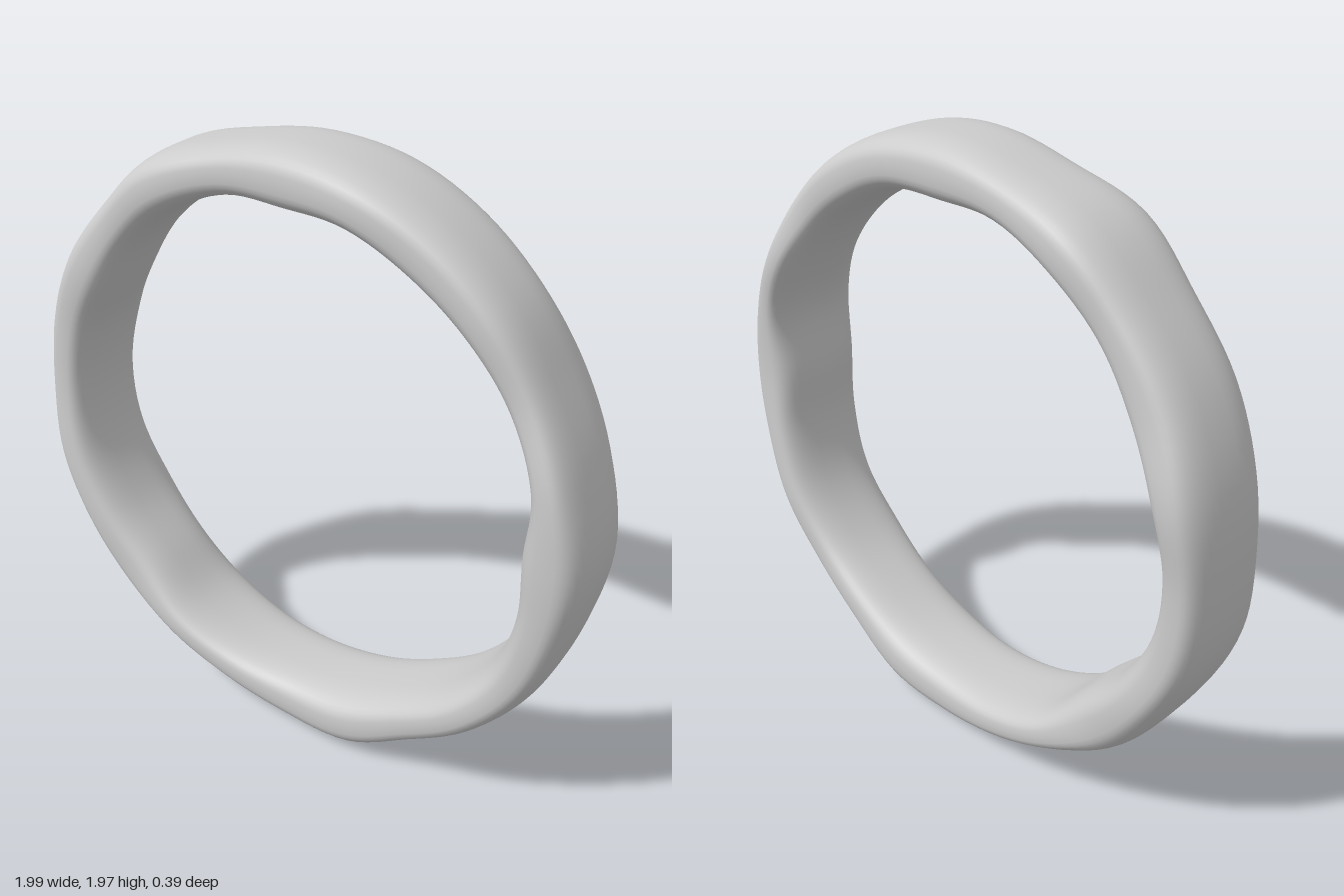
import * as THREE from 'three';
import { mergeVertices } from 'three/addons/utils/BufferGeometryUtils.js';

// Hand-formed band: values every 15 degrees, counter-clockwise from +x
const OUTER = [0.995, 0.967, 0.95, 0.973, 0.984, 0.99, 0.988, 0.982, 1.005, 0.986, 0.994, 0.998,
  0.993, 1.003, 0.993, 0.99, 0.957, 0.958, 0.975, 0.993, 0.963, 0.972, 0.984, 0.982];
const INNER = [0.787, 0.829, 0.822, 0.816, 0.811, 0.82, 0.802, 0.828, 0.83, 0.82, 0.805, 0.828,
  0.84, 0.838, 0.817, 0.795, 0.82, 0.818, 0.806, 0.805, 0.807, 0.824, 0.831, 0.813];
const FRONT = [0.19, 0.185, 0.155, 0.165, 0.17, 0.18, 0.168, 0.16, 0.185, 0.175, 0.18, 0.165,
  0.165, 0.18, 0.185, 0.18, 0.19, 0.175, 0.165, 0.175, 0.17, 0.18, 0.17, 0.18];
const BACK = [0.165, 0.178, 0.195, 0.168, 0.175, 0.178, 0.17, 0.168, 0.178, 0.16, 0.165, 0.19,
  0.168, 0.165, 0.175, 0.165, 0.175, 0.17, 0.168, 0.175, 0.17, 0.165, 0.175, 0.17];

const CENTER_Y = 0.985;
const SEGMENTS = 144;
const SIDES = 40;

// Smooth, periodic lookup in one of the tables
function sample(table, t) {
  const n = table.length;
  const i = Math.floor(t * n);
  const f = t * n - i;
  const [a, b, c, d] = [-1, 0, 1, 2].map((k) => table[(i + k + n) % n]);
  return b + 0.5 * f * (c - a + f * (2 * a - 5 * b + 4 * c - d + f * (3 * (b - c) + d - a)));
}

// Superellipse coordinate: rounds a rectangle's corners
const soften = (v, power) => Math.sign(v) * Math.abs(v) ** power;

function createBand() {
  const positions = [];
  const indices = [];
  for (let i = 0; i < SEGMENTS; i++) {
    const t = i / SEGMENTS;
    const angle = t * Math.PI * 2;
    const outer = sample(OUTER, t);
    const inner = sample(INNER, t);
    const front = sample(FRONT, t);
    const back = sample(BACK, t);
    // Slight lean of the section, towards opposite sides at opposite ends
    const lean = 0.012 * Math.cos(angle);
    for (let j = 0; j < SIDES; j++) {
      const s = (j / SIDES) * Math.PI * 2;
      const across = soften(Math.cos(s), 0.68);
      const along = soften(Math.sin(s), 0.68);
      const z = along * (along > 0 ? front : back);
      const r = (outer + inner) / 2 + across * (outer - inner) / 2 + lean * along;
      positions.push(r * Math.cos(angle), CENTER_Y + r * Math.sin(angle), z);

      const next = ((i + 1) % SEGMENTS) * SIDES;
      const k = (j + 1) % SIDES;
      const a = i * SIDES + j, b = next + j, c = next + k, d = i * SIDES + k;
      indices.push(a, b, c, a, c, d);
    }
  }
  const geometry = new THREE.BufferGeometry();
  geometry.setAttribute('position', new THREE.Float32BufferAttribute(positions, 3));
  geometry.setIndex(indices);
  const merged = mergeVertices(geometry);
  merged.computeVertexNormals();
  return merged;
}

export function createModel() {
  const model = new THREE.Group();
  model.name = 'ring';
  const band = new THREE.Mesh(createBand(), new THREE.MeshStandardMaterial({ color: 0xcccccc }));
  band.name = 'band';
  model.add(band);
  return model;
}
